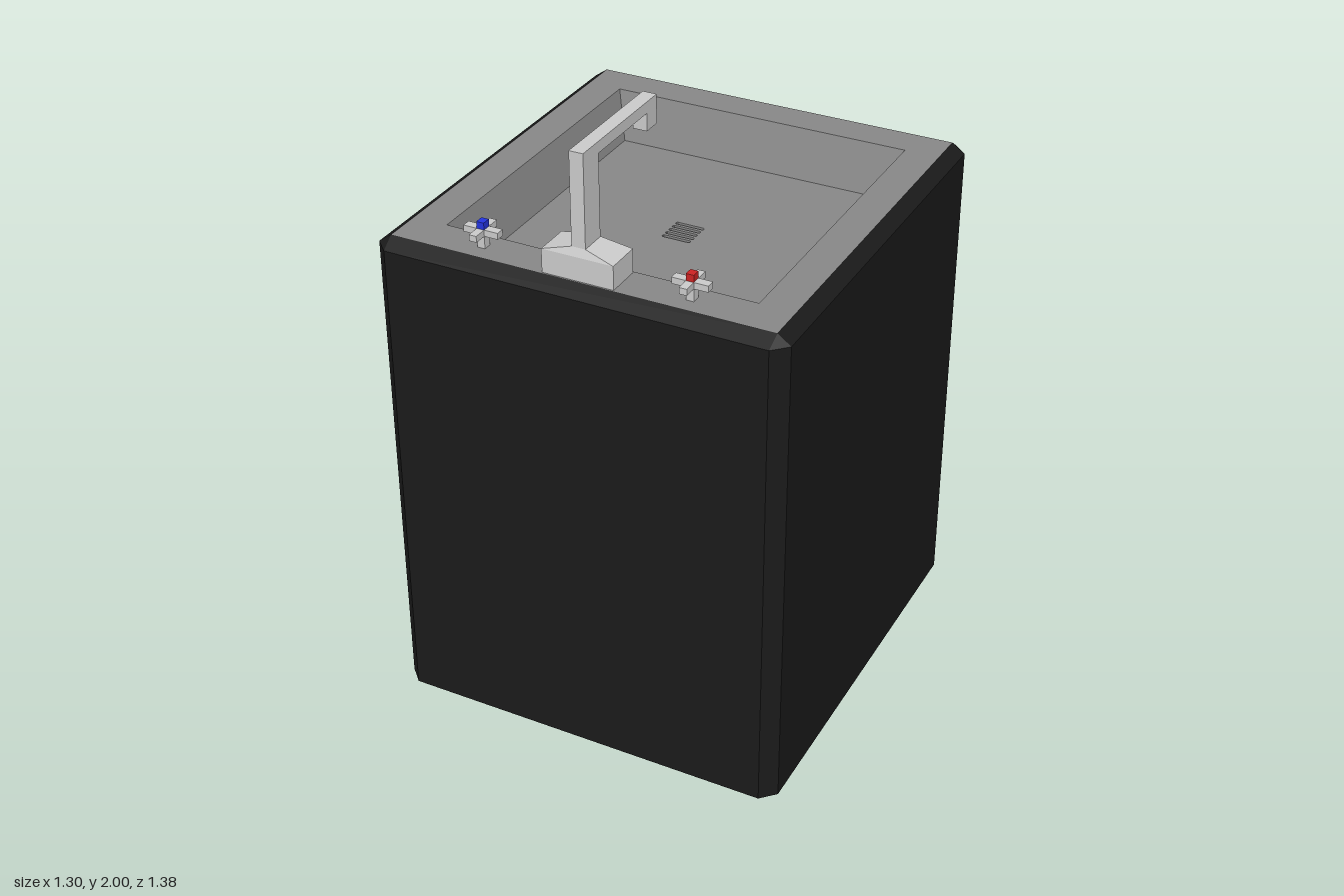
import * as THREE from 'three';

const TOP = 1.61, FLOOR = 1.455;
const paint = (color) => new THREE.MeshStandardMaterial({ color, flatShading: true });

function add(parent, name, geometry, material, x = 0, y = 0, z = 0) {
  const mesh = new THREE.Mesh(geometry, material);
  mesh.name = name;
  mesh.position.set(x, y, z);
  parent.add(mesh);
  return mesh;
}

// Rectangular ring of 8 points with corners cut by c
function ring(X, Z, y, c = 0, cz = 0) {
  return [[X, Z - c], [X, c - Z], [X - c, -Z], [c - X, -Z], [-X, c - Z], [-X, Z - c], [c - X, Z], [X - c, Z]]
    .map(([x, z]) => [x, y, z + cz]);
}

// Skin a list of rings, optionally closing the first and last
function skin(rings, capStart, capEnd) {
  const pos = [];
  const tri = (a, b, c) => pos.push(...a, ...b, ...c);
  for (let r = 0; r + 1 < rings.length; r++) {
    const a = rings[r], b = rings[r + 1];
    for (let i = 0; i < 8; i++) {
      const j = (i + 1) % 8;
      tri(a[i], a[j], b[j]);
      tri(a[i], b[j], b[i]);
    }
  }
  const end = rings[rings.length - 1];
  for (let i = 1; i < 7; i++) {
    if (capStart) tri(rings[0][0], rings[0][i + 1], rings[0][i]);
    if (capEnd) tri(end[0], end[i], end[i + 1]);
  }
  const g = new THREE.BufferGeometry();
  g.setAttribute('position', new THREE.Float32BufferAttribute(pos, 3));
  g.computeVertexNormals();
  return g;
}

function rectShape(X, Z, cz = 0, c = 0) {
  return ring(X, Z, 0, c, cz).map(([x, , z]) => new THREE.Vector2(x, -z));
}

export function createModel() {
  const model = new THREE.Group();
  model.name = 'sink';
  const black = paint(0x1a1a1a), stone = paint(0x888888), metal = paint(0xcccccc);

  // Cabinet with bevelled corners and top edge
  const rim = ring(0.608, 0.644, TOP);
  add(model, 'cabinet', skin([ring(0.65, 0.69, 0, 0.045), ring(0.65, 0.69, 1.58, 0.045), rim], true, false), black);

  // Countertop rim and sloping basin walls
  add(model, 'basin', skin([rim, ring(0.497, 0.525, TOP, 0, -0.003), ring(0.455, 0.477, FLOOR, 0, -0.003)]), stone);

  // Basin floor pierced by five drain slots, with a pan beneath
  const floor = new THREE.Shape(rectShape(0.455, 0.477, -0.003));
  for (let i = -2; i <= 2; i++) {
    floor.holes.push(new THREE.Path(rectShape(0.047, 0.006, -0.003 + i * 0.0225, 0.003)));
  }
  const floorGeo = new THREE.ExtrudeGeometry(floor, { depth: 0.02, bevelEnabled: false });
  floorGeo.rotateX(-Math.PI / 2);
  add(model, 'basinFloor', floorGeo, stone, 0, FLOOR - 0.02, 0);
  add(model, 'drainPan', new THREE.BoxGeometry(0.14, 0.01, 0.14), stone, 0, FLOOR - 0.025, 0);

  // Faucet: block with sloping shoulders, then a hooked square spout
  const faucet = new THREE.Group();
  faucet.name = 'faucet';
  model.add(faucet);
  add(faucet, 'faucetBase', skin([
    ring(0.113, 0.057, TOP, 0, 0.583),
    ring(0.113, 0.057, 1.685, 0, 0.583),
    ring(0.022, 0.043, 1.71, 0, 0.587),
  ], true, true), metal);
  const spout = new THREE.Shape([
    [0.63, 1.7], [0.63, 2], [0.205, 2], [0.205, 1.91], [0.265, 1.91],
    [0.265, 1.965], [0.545, 1.965], [0.545, 1.7],
  ].map(([z, y]) => new THREE.Vector2(z, y)));
  const spoutGeo = new THREE.ExtrudeGeometry(spout, { depth: 0.044, bevelEnabled: false });
  spoutGeo.rotateY(-Math.PI / 2);
  add(faucet, 'spout', spoutGeo, metal, 0.022, 0, 0);

  // Cross-handled taps with coloured buttons
  for (const [name, x, color] of [['coldTap', -0.336, 0x2233dd], ['hotTap', 0.324, 0xcc2222]]) {
    const tap = new THREE.Group();
    tap.name = name;
    tap.position.set(x, TOP, 0.582);
    add(tap, 'stem', new THREE.BoxGeometry(0.024, 0.05, 0.028), metal, 0, 0.025, 0);
    add(tap, 'crossBar', new THREE.BoxGeometry(0.112, 0.02, 0.028), metal, 0, 0.05, 0);
    for (const s of [-1, 1]) {
      add(tap, 'crossArm', new THREE.BoxGeometry(0.024, 0.02, 0.042), metal, 0, 0.05, s * 0.035);
    }
    add(tap, 'button', new THREE.BoxGeometry(0.024, 0.022, 0.028), paint(color), 0, 0.071, 0);
    model.add(tap);
  }
  return model;
}
